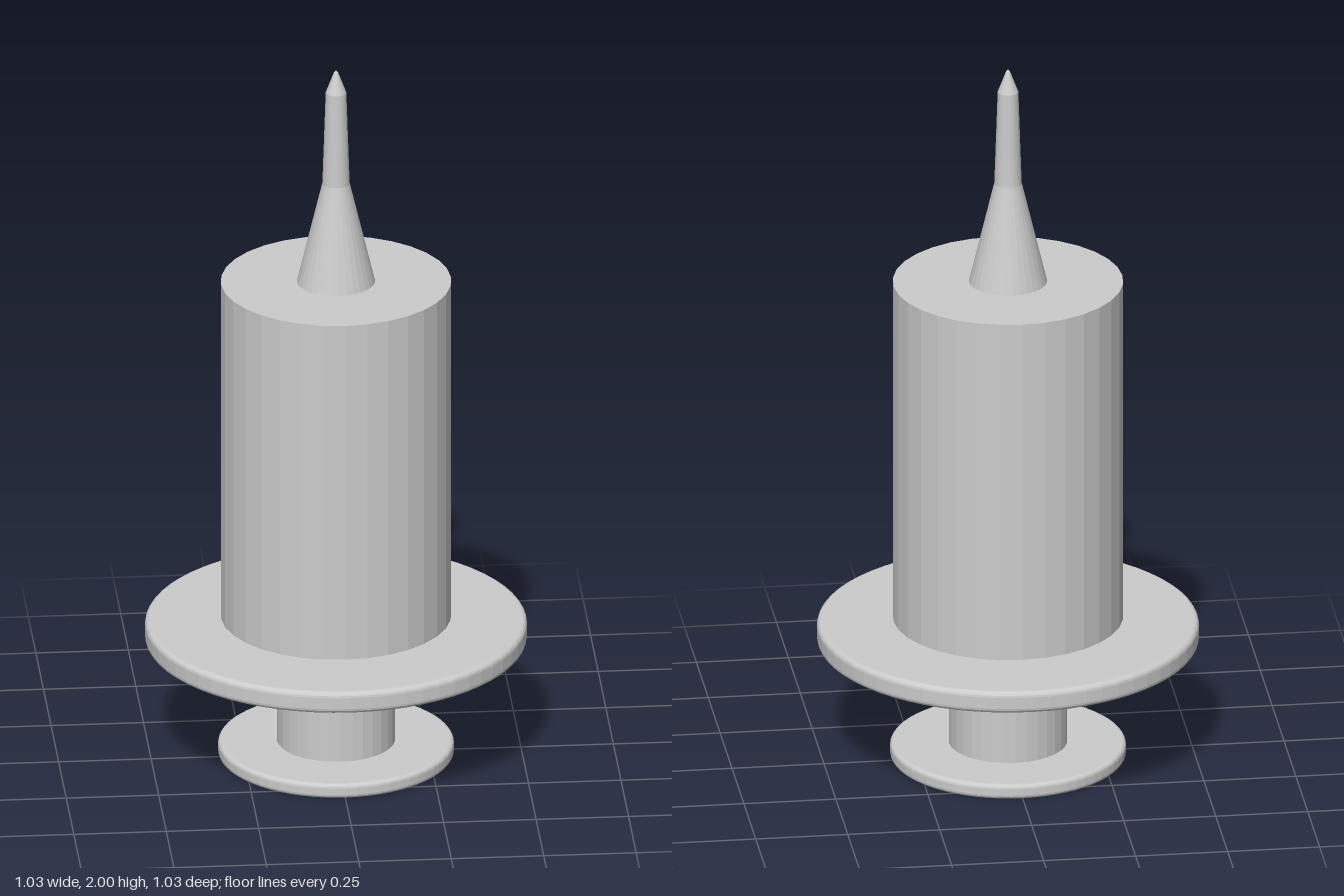
import * as THREE from 'three';

const flat = new THREE.MeshStandardMaterial({ color: 0xcccccc, flatShading: true });

// Solid of revolution from [radius, height] points, listed bottom to top
function turned(name, points, segments = 32) {
  const profile = points.map(([r, y]) => new THREE.Vector2(r, y));
  const mesh = new THREE.Mesh(new THREE.LatheGeometry(profile, segments), flat);
  mesh.name = name;
  return mesh;
}

// Flat disc with rounded rims
function disc(name, radius, y0, y1, bevel) {
  const points = [[0, y0]];
  const steps = 4;
  for (const [cy, start] of [[y0 + bevel, -Math.PI / 2], [y1 - bevel, 0]]) {
    for (let i = 0; i <= steps; i++) {
      const a = start + (i / steps) * (Math.PI / 2);
      points.push([radius - bevel + bevel * Math.cos(a), cy + bevel * Math.sin(a)]);
    }
  }
  points.push([0, y1]);
  return turned(name, points, 64);
}

export function createModel() {
  const model = new THREE.Group();
  model.name = 'syringe';

  // Plunger: thumb rest and rod reaching into the barrel
  model.add(disc('thumbRest', 0.318, 0, 0.042, 0.012));
  model.add(turned('plungerRod', [[0, 0.03], [0.16, 0.03], [0.16, 0.42], [0, 0.42]]));

  // Finger flange just below the barrel
  model.add(disc('fingerFlange', 0.515, 0.332, 0.394, 0.015));

  // Barrel
  model.add(turned('barrel', [[0, 0.405], [0.311, 0.405], [0.311, 1.383], [0, 1.383]]));

  // Nozzle cone, needle and point
  model.add(turned('nozzle', [[0, 1.38], [0.106, 1.38], [0.037, 1.67]]));
  model.add(turned('needle', [[0.037, 1.67], [0.028, 1.935], [0.006, 1.993], [0, 2]]));

  return model;
}
